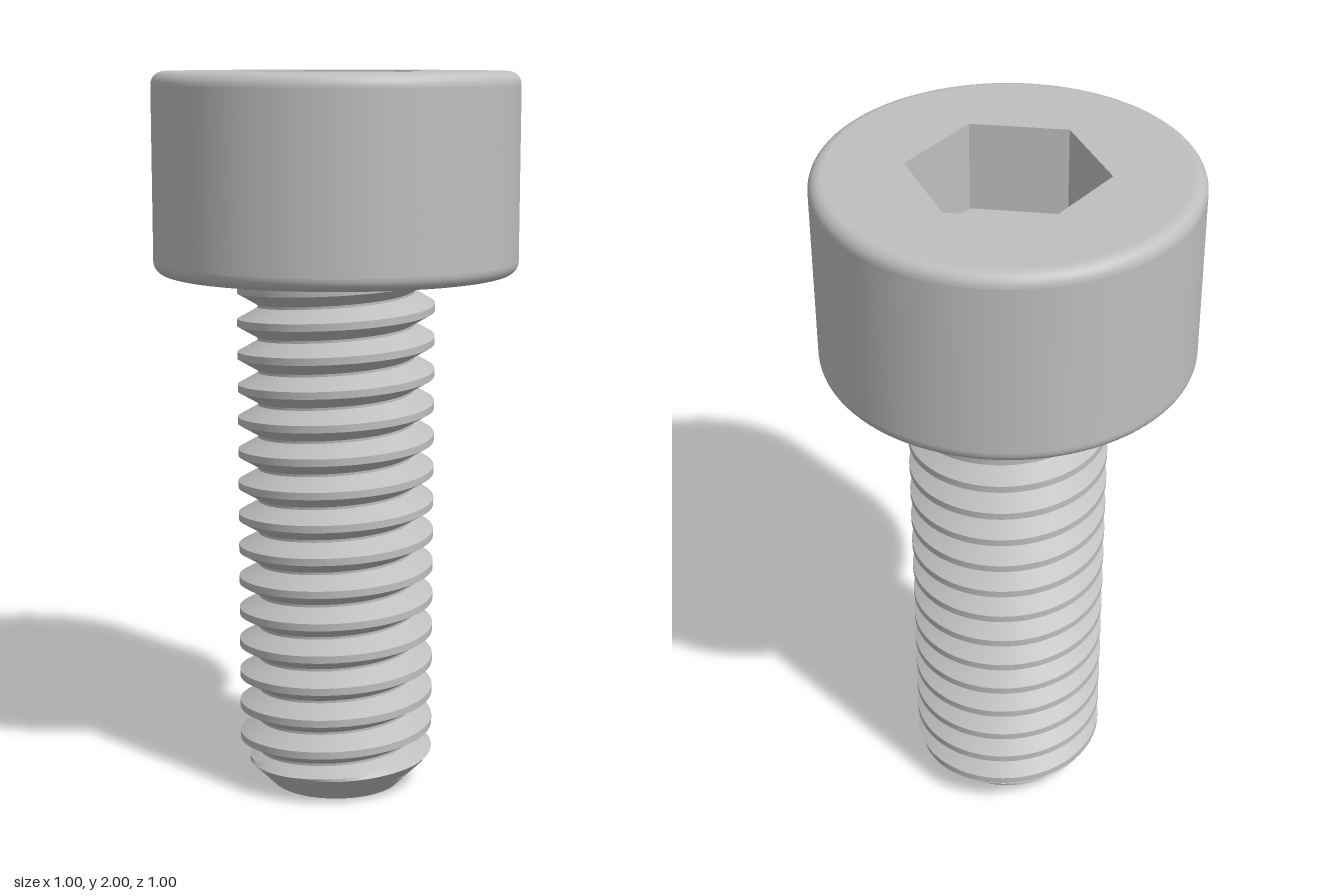
import * as THREE from 'three';
import { toCreasedNormals } from 'three/addons/utils/BufferGeometryUtils.js';

const HEAD_R = 0.5, HEAD_Y = 1.4545, TOP_Y = 2, FILLET = 0.036;
const HEX_R = 0.2624, HEX_DEPTH = 0.25;
const PITCH = 0.0909, CREST_R = 0.2727, ROOT_R = 0.217, TIP_R = 0.182;
const CREST_HALF = 0.01, ROOT_HALF = 0.0035, CREST_Y = 0.095;
const SIDES = 96;

// Radius of the threaded shank at a height and angle, cut by the 45 degree end chamfer
function shankRadius(y, phi) {
  const t = (y - CREST_Y) / PITCH - phi / (2 * Math.PI);
  const d = Math.abs(t - Math.round(t)) * PITCH; // axial distance from the crest
  const k = (d - CREST_HALF) / (PITCH / 2 - CREST_HALF - ROOT_HALF);
  const r = THREE.MathUtils.lerp(CREST_R, ROOT_R, THREE.MathUtils.clamp(k, 0, 1));
  return Math.min(r, TIP_R + y);
}

// Rows of the surface follow the helix, so crest and root edges stay crisp
function threadGeometry() {
  const flank = PITCH / 2 - ROOT_HALF;
  const edges = [-CREST_HALF, CREST_HALF, flank, PITCH - flank, PITCH - CREST_HALF];
  const offsets = [];
  for (let i = 0; i < 4; i++) {
    const steps = i % 2 ? 4 : 1; // flanks are divided more finely
    for (let s = 0; s < steps; s++) offsets.push(THREE.MathUtils.lerp(edges[i], edges[i + 1], s / steps));
  }
  const rows = [];
  for (let turn = -3; turn <= 16; turn++) {
    for (const o of offsets) rows.push(CREST_Y + turn * PITCH + o);
  }
  const point = (row, col) => {
    const phi = (col / SIDES) * 2 * Math.PI;
    const y = THREE.MathUtils.clamp(rows[row] + (PITCH * col) / SIDES, 0, HEAD_Y);
    const r = shankRadius(y, phi);
    return [r * Math.cos(phi), y, -r * Math.sin(phi)];
  };
  const pos = [];
  const tri = (a, b, c) => {
    if (a[1] === b[1] && b[1] === c[1]) return;
    pos.push(...a, ...b, ...c);
  };
  for (let i = 0; i < rows.length - 1; i++) {
    for (let j = 0; j < SIDES; j++) {
      const a = point(i, j), b = point(i, j + 1), c = point(i + 1, j + 1), d = point(i + 1, j);
      tri(a, b, c);
      tri(a, c, d);
    }
  }
  const g = new THREE.BufferGeometry();
  g.setAttribute('position', new THREE.Float32BufferAttribute(pos, 3));
  return toCreasedNormals(g, 0.45);
}

// Quarter-round edge of the head between two angles
function filletGeometry(centreY, from) {
  const pts = [];
  for (let i = 0; i <= 8; i++) {
    const a = from + (i / 8) * (Math.PI / 2);
    pts.push(new THREE.Vector2(HEAD_R - FILLET + FILLET * Math.cos(a), centreY + FILLET * Math.sin(a)));
  }
  return new THREE.LatheGeometry(pts, SIDES);
}

export function createModel() {
  const steel = new THREE.MeshStandardMaterial({ color: 0xbfbfbf });
  steel.name = 'steel grey';
  const model = new THREE.Group();
  model.name = 'socketHeadScrew';
  const head = new THREE.Group();
  head.name = 'head';
  const shank = new THREE.Group();
  shank.name = 'shank';
  model.add(head, shank);
  const add = (parent, name, geometry, y = 0) => {
    const mesh = new THREE.Mesh(geometry, steel);
    mesh.name = name;
    mesh.position.y = y;
    parent.add(mesh);
  };

  // Head side and rounded rims
  const sideH = TOP_Y - HEAD_Y - 2 * FILLET;
  add(head, 'headSide', new THREE.CylinderGeometry(HEAD_R, HEAD_R, sideH, SIDES, 1, true), (TOP_Y + HEAD_Y) / 2);
  add(head, 'upperRim', filletGeometry(TOP_Y - FILLET, 0));
  add(head, 'lowerRim', filletGeometry(HEAD_Y + FILLET, -Math.PI / 2));

  // Top face with the hexagonal opening
  const face = new THREE.Shape().absarc(0, 0, HEAD_R - FILLET, 0, Math.PI * 2);
  const hex = [];
  for (let i = 0; i < 6; i++) {
    const a = Math.PI / 2 - (i * Math.PI) / 3;
    hex.push(new THREE.Vector2(HEX_R * Math.cos(a), HEX_R * Math.sin(a)));
  }
  face.holes.push(new THREE.Path(hex));
  add(head, 'topFace', new THREE.ShapeGeometry(face, SIDES).rotateX(-Math.PI / 2), TOP_Y);

  // Underside of the head
  add(head, 'underside', new THREE.CircleGeometry(HEAD_R - FILLET, SIDES).rotateX(Math.PI / 2), HEAD_Y);

  // Socket walls, turned to face inward, and floor
  const walls = new THREE.CylinderGeometry(HEX_R, HEX_R, HEX_DEPTH, 6, 1, true).scale(-1, 1, 1).toNonIndexed();
  walls.computeVertexNormals();
  add(head, 'socketWalls', walls, TOP_Y - HEX_DEPTH / 2);
  add(head, 'socketFloor', new THREE.CircleGeometry(HEX_R, 6, Math.PI / 2).rotateX(-Math.PI / 2), TOP_Y - HEX_DEPTH);

  // Helical thread and flat tip
  add(shank, 'thread', threadGeometry());
  add(shank, 'tip', new THREE.CircleGeometry(TIP_R, SIDES).rotateX(Math.PI / 2));

  return model;
}
